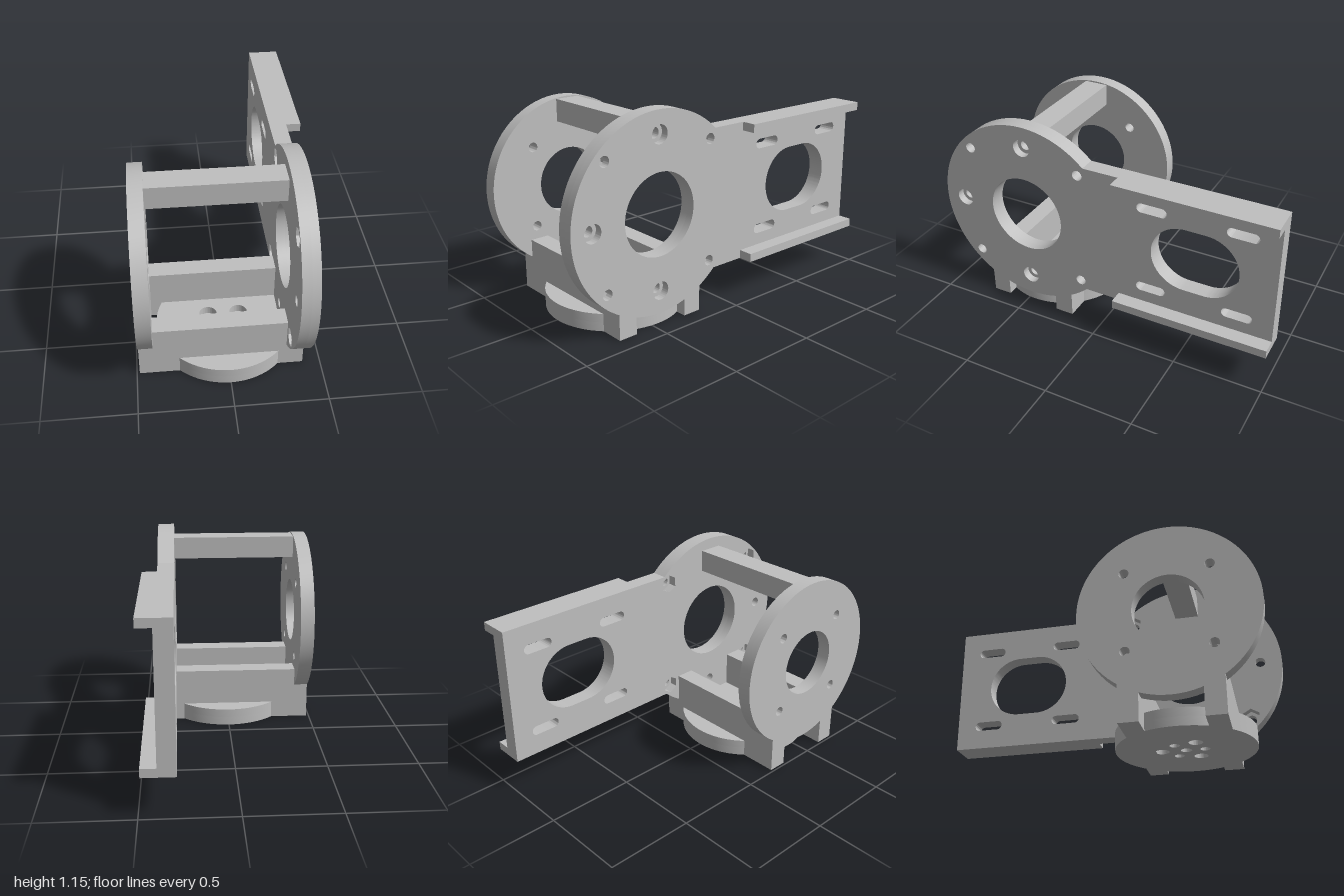
import * as THREE from 'three';
import { toCreasedNormals } from 'three/addons/utils/BufferGeometryUtils.js';

const CZ = 0.46, CY = 0.61; // shared axis of the two round plates

export function createModel() {
  const group = new THREE.Group();
  const grey = new THREE.MeshStandardMaterial({ color: 0xbfbfbf });
  grey.name = 'plainGrey';

  const add = (name, geometry) => {
    const mesh = new THREE.Mesh(geometry, grey);
    mesh.name = name;
    group.add(mesh);
  };
  const box = (name, x0, x1, y0, y1, z0, z1) => {
    const g = new THREE.BoxGeometry(x1 - x0, y1 - y0, z1 - z0);
    g.translate((x0 + x1) / 2, (y0 + y1) / 2, (z0 + z1) / 2);
    add(name, g);
  };

  // Hole outlines
  const circle = (x, y, r) => new THREE.Path().absarc(x, y, r, 0, Math.PI * 2, false);
  const hexagon = (x, y, r) => new THREE.Path(Array.from({ length: 6 }, (_, i) => {
    const a = Math.PI / 2 + i * Math.PI / 3;
    return new THREE.Vector2(x + r * Math.cos(a), y + r * Math.sin(a));
  }));
  const slot = (x0, x1, y, r) => new THREE.Path()
    .absarc(x1 - r, y, r, -Math.PI / 2, Math.PI / 2, false)
    .absarc(x0 + r, y, r, Math.PI / 2, Math.PI * 1.5, false);
  const extrude = (shape, holes, depth) => {
    shape.holes = holes;
    return new THREE.ExtrudeGeometry(shape, { depth, bevelEnabled: false, curveSegments: 40 });
  };
  // Upright layer: drawn in (-z, y), thickness runs from x0 to x1
  const upright = (name, shape, holes, x0, x1) => {
    const g = extrude(shape, holes, x1 - x0);
    g.rotateY(Math.PI / 2);
    g.translate(x0, 0, 0);
    add(name, toCreasedNormals(g, 0.4));
  };
  // Flat layer: drawn in (x, -z), thickness runs from y0 to y1
  const flat = (name, shape, holes, y0, y1) => {
    const g = extrude(shape, holes, y1 - y0);
    g.rotateX(-Math.PI / 2);
    g.translate(0, y0, 0);
    add(name, toCreasedNormals(g, 0.4));
  };
  const roundShape = (x, y, r) => new THREE.Shape().absarc(x, y, r, 0, Math.PI * 2, false);
  const corners = (d) => [[-d, -d], [-d, d], [d, -d], [d, d]].map(([u, v]) => [u - CZ, v + CY]);

  // Main plate: disc with a long arm towards the back
  const mainOutline = () => {
    const a = Math.asin(0.39 / 0.54);
    const s = new THREE.Shape();
    s.moveTo(1, CY - 0.39);
    s.lineTo(1, CY + 0.39);
    s.absarc(-CZ, CY, 0.54, a, Math.PI * 2 - a, false);
    s.closePath();
    return s;
  };
  const openings = () => {
    const list = [circle(-CZ, CY, 0.224), slot(0.31, 0.8, CY, 0.188)];
    for (const y of [CY - 0.248, CY + 0.248])
      for (const x of [0.225, 0.717]) list.push(slot(x, x + 0.17, y, 0.027));
    return list;
  };
  const bolts = [[-CZ, CY + 0.415], [-CZ, CY - 0.415], [-CZ - 0.415, CY]];
  // Inner layer has hexagonal nut pockets, outer layer has counterbores
  upright('mainPlateInner', mainOutline(), [
    ...openings(),
    ...bolts.map(([x, y]) => circle(x, y, 0.029)),
    ...corners(0.338).map(([x, y]) => hexagon(x, y, 0.053)),
  ], 0.31, 0.36);
  upright('mainPlateOuter', mainOutline(), [
    ...openings(),
    ...bolts.map(([x, y]) => circle(x, y, 0.05)),
    ...corners(0.338).map(([x, y]) => circle(x, y, 0.029)),
  ], 0.36, 0.404);

  // Arm flanges
  for (const [name, y0] of [['upperFlange', 0.953], ['lowerFlange', 0.22]])
    box(name, 0.404, 0.485, y0, y0 + 0.047, -1, -0.118);

  // Opposite round plate
  upright('sidePlate', roundShape(-CZ, CY, 0.485), [
    circle(-CZ, CY, 0.19),
    ...corners(0.228).map(([x, y]) => circle(x, y, 0.027)),
  ], -0.485, -0.406);

  // Tie bar and base rails
  box('tieBar', -0.406, 0.31, 0.96, 1.086, 0.387, 0.526);
  box('frontRail', -0.485, 0.404, 0, 0.307, 0.622, 0.73);
  box('backRail', -0.485, 0.404, 0, 0.307, 0.19, 0.298);

  // Base disc: counterbored holes from above, blind bores from below
  const ring = (count, radius, start, r) => Array.from({ length: count }, (_, i) => {
    const a = start + i * Math.PI * 2 / count;
    return circle(radius * Math.cos(a), -CZ + radius * Math.sin(a), r);
  });
  flat('baseDiscLower', roundShape(0, -CZ, 0.38), [
    circle(0, -CZ, 0.03),
    ...ring(3, 0.1, -Math.PI / 2, 0.027),
    ...ring(3, 0.13, Math.PI / 2, 0.038),
  ], 0, 0.05);
  flat('baseDiscUpper', roundShape(0, -CZ, 0.38), [
    circle(0, -CZ, 0.03),
    ...ring(3, 0.1, -Math.PI / 2, 0.049),
  ], 0.05, 0.098);

  return group;
}
